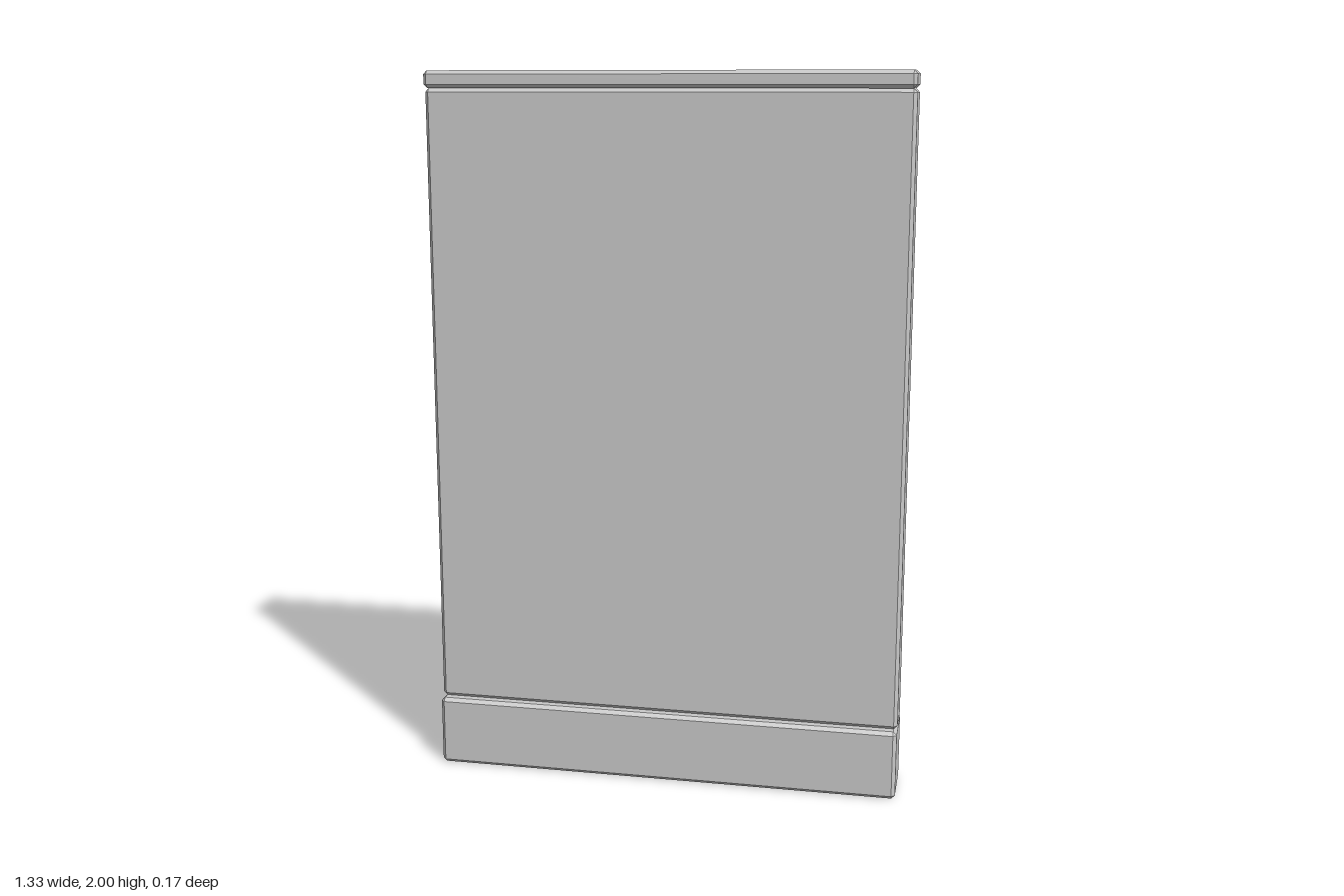
import * as THREE from 'three';
import { ConvexGeometry } from 'three/addons/geometries/ConvexGeometry.js';

// Box with every edge cut at 45 degrees
function chamferedBox(width, height, depth, bevel) {
  const half = [width / 2, height / 2, depth / 2];
  const points = [];
  for (const sx of [-1, 1]) for (const sy of [-1, 1]) for (const sz of [-1, 1]) {
    for (let axis = 0; axis < 3; axis++) {
      const [x, y, z] = half.map((h, i) => (i === axis ? h : h - bevel));
      points.push(new THREE.Vector3(sx * x, sy * y, sz * z));
    }
  }
  return new ConvexGeometry(points);
}

export function createModel() {
  const group = new THREE.Group();
  group.name = 'wallPanel';
  const grey = new THREE.MeshStandardMaterial({ color: 0xc8c8c8 });
  grey.name = 'light grey';

  const width = 1.33;
  const bevel = 0.01;
  // name, bottom, top, depth
  const parts = [
    ['base', 0, 0.2, 0.17],
    ['panel', 0.2, 1.953, 0.127],
    ['cap', 1.953, 2, 0.153],
  ];
  for (const [name, bottom, top, depth] of parts) {
    const mesh = new THREE.Mesh(chamferedBox(width, top - bottom, depth, bevel), grey);
    mesh.name = name;
    mesh.position.y = (bottom + top) / 2;
    group.add(mesh);
  }
  return group;
}
